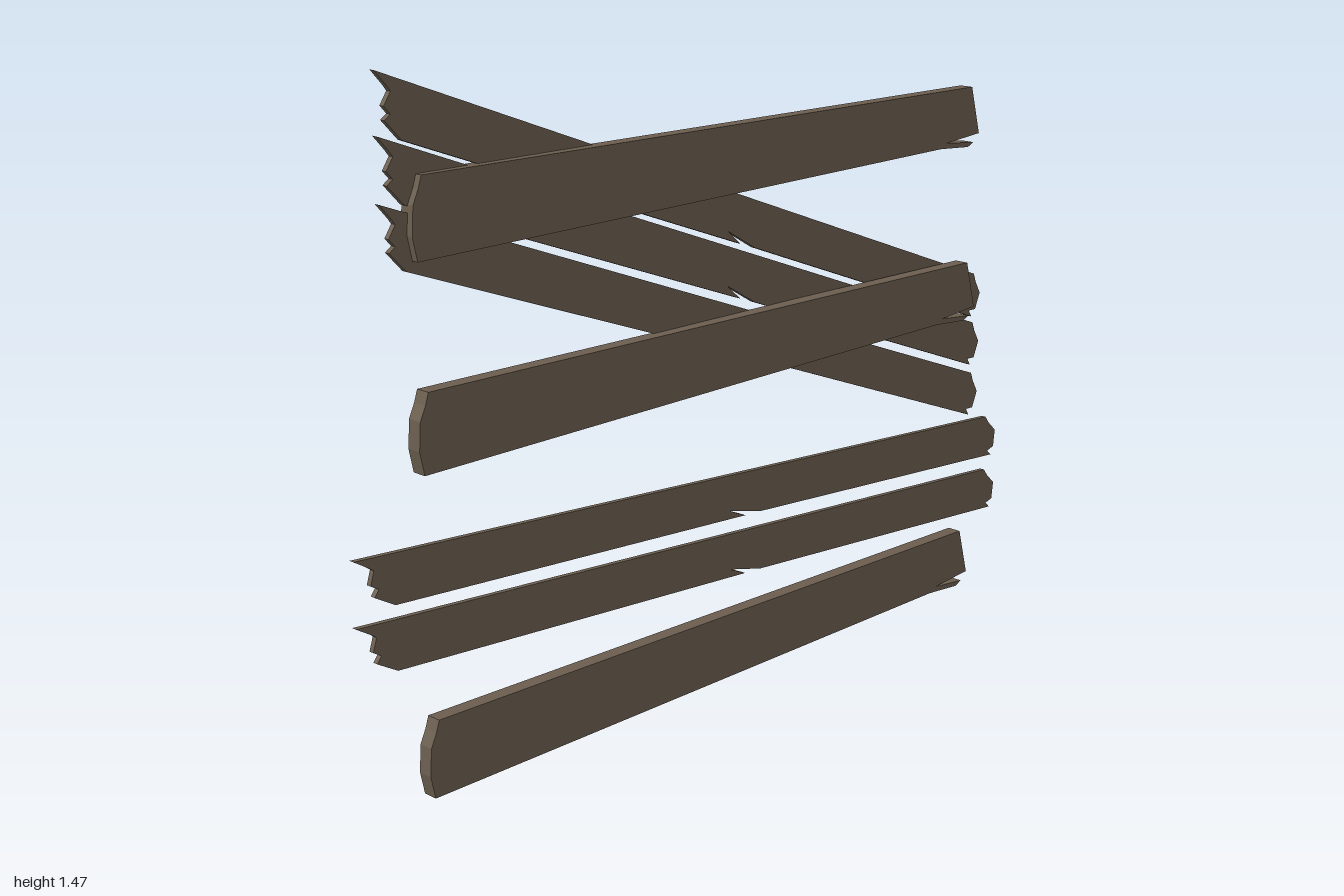
import * as THREE from 'three';

// Broken end outlines, clockwise from the top left corner, in plank space
const WIDE = [
  [-0.82, 0.165], [0.83, 0.143], [0.86, 0.03], [0.74, 0.021], [0.84, 0.011],
  [0.82, 0.002], [0.72, 0.01], [-0.835, 0], [-0.846, 0.05], [-0.842, 0.11], [-0.828, 0.14],
];
const NARROW = [
  [-1.005, 0.051], [0.95, 0.051], [0.965, 0.034], [0.992, 0.012], [0.99, -0.03],
  [0.967, -0.038], [0.982, -0.05], [0.14, -0.049], [0.04, -0.032], [0.09, -0.05],
  [-0.9, -0.056], [-0.952, -0.031], [-0.942, -0.016], [-0.962, -0.006], [-0.955, 0.024], [-0.968, 0.032],
];

// Flat board cut from an outline, centred through its thickness
function plankGeometry(outline, thickness) {
  const shape = new THREE.Shape(outline.map(([x, y]) => new THREE.Vector2(x, y)));
  const geometry = new THREE.ExtrudeGeometry(shape, { depth: thickness, bevelEnabled: false });
  return geometry.translate(0, 0, -thickness / 2);
}

export function createModel() {
  const group = new THREE.Group();
  group.name = 'boardedPlanks';
  const wood = new THREE.MeshStandardMaterial({ color: 0x6b5e4f, flatShading: true });
  wood.name = 'weatheredWood';

  const wide = plankGeometry(WIDE, 0.034);
  const narrow = plankGeometry(NARROW, 0.012);

  function add(name, geometry, position, tilt = 0, swing = 0) {
    const mesh = new THREE.Mesh(geometry, wood);
    mesh.name = name;
    mesh.position.set(...position);
    mesh.rotation.set(0, swing, tilt);
    group.add(mesh);
  }

  // Thick horizontal boards in front
  [0, 0.678, 1.1].forEach((y, i) => add(`horizontalBoard${i + 1}`, wide, [0, y, 0.011]));

  // Thin, slightly sloping slats
  [0.283, 0.42].forEach((y, i) => add(`slopingSlat${i + 1}`, narrow, [0, y, 0], -0.069, 0.002));

  // Thin diagonal slats that run behind the boards
  [0.813, 0.941, 1.063].forEach((y, i) =>
    add(`diagonalSlat${i + 1}`, narrow, [0.01, y, -0.008], -0.365, 0.017));

  return group;
}
